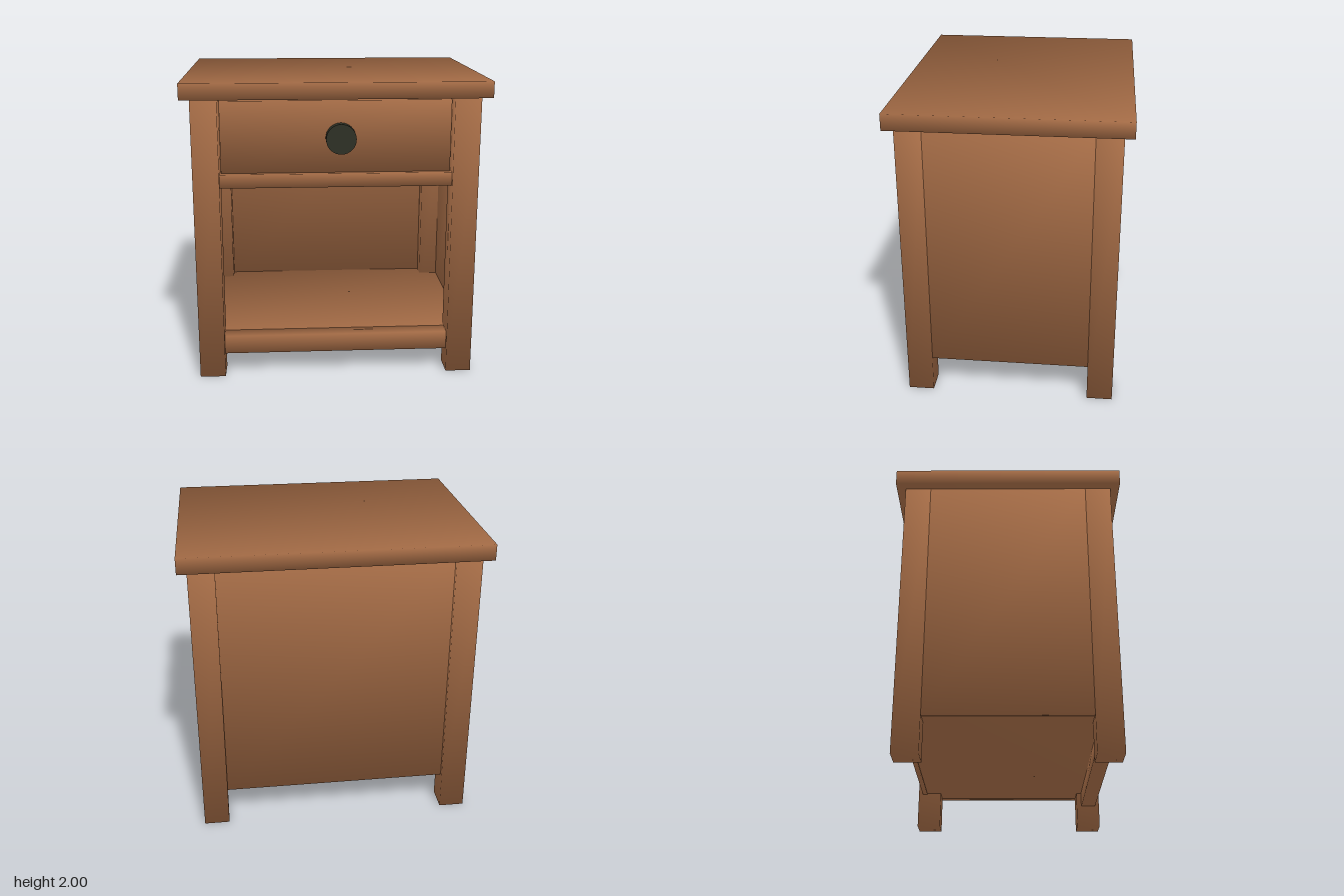
import * as THREE from 'three';

export function createModel() {
  const model = new THREE.Group();
  model.name = 'nightstand';
  const wood = new THREE.MeshStandardMaterial({ color: 0xa56c46 });
  wood.name = 'brown wood';
  const metal = new THREE.MeshStandardMaterial({ color: 0x2e3025 });
  metal.name = 'dark metal';

  // Box given by its limits, with soft normals pointing out through each corner
  function board(name, [x0, x1], [y0, y1], [z0, z1]) {
    const geo = new THREE.BoxGeometry(x1 - x0, y1 - y0, z1 - z0);
    const pos = geo.attributes.position;
    const n = 1 / Math.sqrt(3);
    for (let i = 0; i < pos.count; i++) {
      geo.attributes.normal.setXYZ(i,
        Math.sign(pos.getX(i)) * n, Math.sign(pos.getY(i)) * n, Math.sign(pos.getZ(i)) * n);
    }
    const mesh = new THREE.Mesh(geo, wood);
    mesh.name = name;
    mesh.position.set((x0 + x1) / 2, (y0 + y1) / 2, (z0 + z1) / 2);
    model.add(mesh);
  }
  const mirrored = (s, a, b) => (s > 0 ? [a, b] : [-b, -a]);

  board('tabletop', [-0.985, 0.985], [1.895, 2], [-0.755, 0.755]);

  // Legs and side panels, left and right
  for (const sx of [1, -1]) {
    const side = sx > 0 ? 'left' : 'right';
    for (const sz of [1, -1]) {
      board(`${side}${sz > 0 ? 'Front' : 'Back'}Leg`,
        mirrored(sx, 0.755, 0.925), [0, 1.895], mirrored(sz, 0.525, 0.695));
    }
    board(`${side}SidePanel`, mirrored(sx, 0.888, 0.923), [0.25, 1.895], [-0.525, 0.525]);
  }
  board('backPanel', [-0.755, 0.755], [0.25, 1.895], [-0.665, -0.63]);

  // Shelves and the rails that close their front edges
  board('bottomShelf', [-0.888, 0.888], [0.255, 0.279], [-0.63, 0.57]);
  board('middleShelf', [-0.888, 0.888], [1.365, 1.395], [-0.63, 0.57]);
  board('bottomRail', [-0.755, 0.755], [0.155, 0.28], [0.56, 0.665]);
  board('middleRail', [-0.755, 0.755], [1.31, 1.4], [0.56, 0.665]);

  // Drawer with its round knob
  board('drawer', [-0.747, 0.747], [1.4, 1.87], [-0.6, 0.625]);
  const knob = new THREE.Mesh(new THREE.CylinderGeometry(0.098, 0.098, 0.07, 32), metal);
  knob.name = 'drawerKnob';
  knob.rotation.x = Math.PI / 2;
  knob.position.set(0.03, 1.628, 0.655);
  model.add(knob);

  return model;
}
